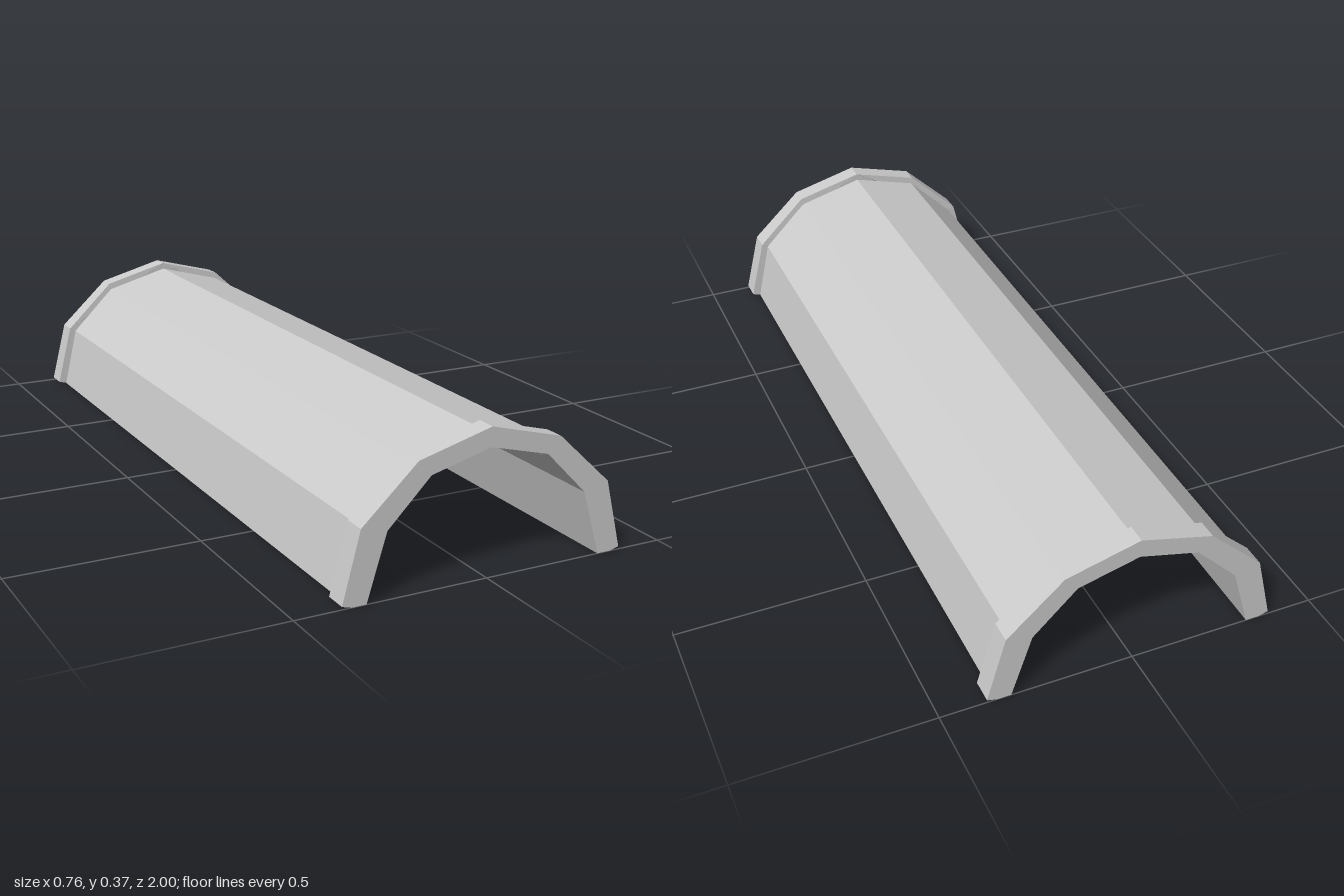
import * as THREE from 'three';

// Half profiles, listed from the foot on +x up to the crown
const INNER = [[0.318, 0], [0.268, 0.166], [0.157, 0.278], [0, 0.319]];
const SHELL = [[0.357, 0], [0.317, 0.173], [0.187, 0.299], [0, 0.35]];
const RIM = [[0.355, 0], [0.38, 0.007], [0.335, 0.183], [0.191, 0.317], [0, 0.368]];

// Mirrors a half profile into a full arch running from +x to -x
function fullArch(half) {
  const mirrored = half.slice(0, -1).reverse().map(([x, y]) => [-x, y]);
  return [...half, ...mirrored].map(([x, y]) => new THREE.Vector2(x, y));
}

// Extrudes the band between an outer arch and the shared inner arch
function archGeometry(outer, depth) {
  const shape = new THREE.Shape([...fullArch(outer), ...fullArch(INNER).reverse()]);
  return new THREE.ExtrudeGeometry(shape, { depth, bevelEnabled: false });
}

export function createModel() {
  const group = new THREE.Group();
  const material = new THREE.MeshStandardMaterial({ color: 0xcccccc, flatShading: true });

  // Long arched shell
  const length = 1.89;
  const shell = new THREE.Mesh(archGeometry(SHELL, length), material);
  shell.geometry.translate(0, 0, -length / 2);
  shell.name = 'archShell';
  group.add(shell);

  // Raised end rims, slightly wider towards the feet
  const rimGeometry = archGeometry(RIM, 1);
  const position = rimGeometry.attributes.position;
  for (let i = 0; i < position.count; i++) {
    const lift = THREE.MathUtils.smoothstep(position.getY(i), 0.15, 0.3);
    position.setZ(i, position.getZ(i) > 0.5 ? 1 : 0.94 + 0.008 * lift);
  }
  rimGeometry.computeVertexNormals();
  for (const [name, turn] of [['frontRim', 0], ['backRim', Math.PI]]) {
    const rim = new THREE.Mesh(rimGeometry, material);
    rim.name = name;
    rim.rotation.y = turn;
    group.add(rim);
  }
  return group;
}
